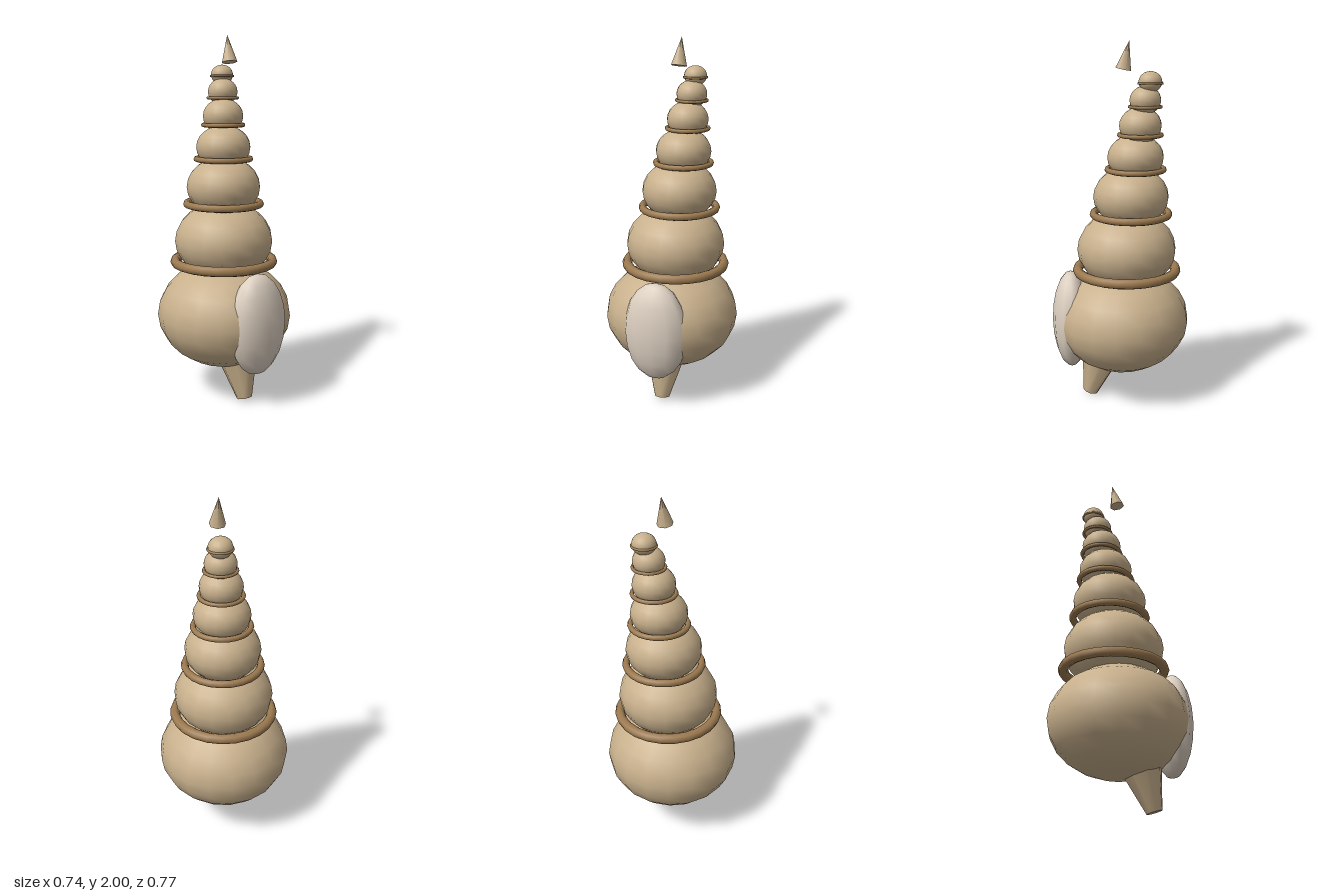
import * as THREE from 'three';

const mat = (name, color) => {
  const m = new THREE.MeshStandardMaterial({ color });
  m.name = name;
  return m;
};

export function createModel() {
  const shell = mat('shellTan', 0xc8b08c);
  const ridge = mat('ridgeBrown', 0x9c7a50);
  const pale = mat('lipCream', 0xdccfc0);
  const group = new THREE.Group();
  group.name = 'spiralShell';

  const add = (name, geo, material, x, y, z) => {
    const mesh = new THREE.Mesh(geo, material);
    mesh.name = name;
    mesh.position.set(x, y, z);
    group.add(mesh);
    return mesh;
  };

  // Flattened whorls, shrinking and drifting as they climb: x, y, z, radius, half height
  const whorls = [
    [0, 0.47, -0.01, 0.375, 0.298],
    [0.015, 0.88, -0.033, 0.274, 0.217],
    [0.03, 1.178, -0.055, 0.206, 0.165],
    [0.046, 1.395, -0.077, 0.152, 0.122],
    [0.062, 1.565, -0.1, 0.113, 0.097],
    [0.077, 1.698, -0.123, 0.083, 0.074],
    [0.09, 1.792, -0.147, 0.062, 0.054],
  ];
  // Height of the ridge around the foot of each whorl above the body
  const ridgeY = [0, 0.762, 1.083, 1.33, 1.516, 1.664, 1.784];

  whorls.forEach(([x, y, z, r, h], i) => {
    const ball = new THREE.SphereGeometry(r, 18, 12);
    ball.rotateY(Math.PI / 2);
    ball.scale(1, h / r, 1);
    add(i ? `whorl${i}` : 'bodyWhorl', ball, shell, x, y, z);
    if (i) {
      const ring = new THREE.TorusGeometry(r, r * 0.1, 8, 24);
      ring.rotateX(Math.PI / 2);
      add(`ridge${i}`, ring, ridge, x, ridgeY[i], z);
    }
  });

  // Pale lip bulging from the front of the body
  const lip = new THREE.SphereGeometry(1, 12, 10);
  lip.scale(0.178, 0.28, 0.105);
  add('apertureLip', lip, pale, 0, 0.47, 0.28);

  // Tapered canal leaning forward below the body
  const canal = new THREE.CylinderGeometry(0.132, 0.043, 0.3, 8);
  canal.translate(0, 0.15, 0);
  add('siphonCanal', canal, shell, 0, 0.015, 0.175).rotation.x = -0.28;

  // Small leaning point above the spire
  const tip = new THREE.ConeGeometry(0.043, 0.148, 7);
  tip.translate(0, 0.074, 0);
  const apex = add('apexTip', tip, shell, 0.037, 1.854, -0.012);
  apex.rotation.set(-0.2, 0, -0.05);

  return group;
}
